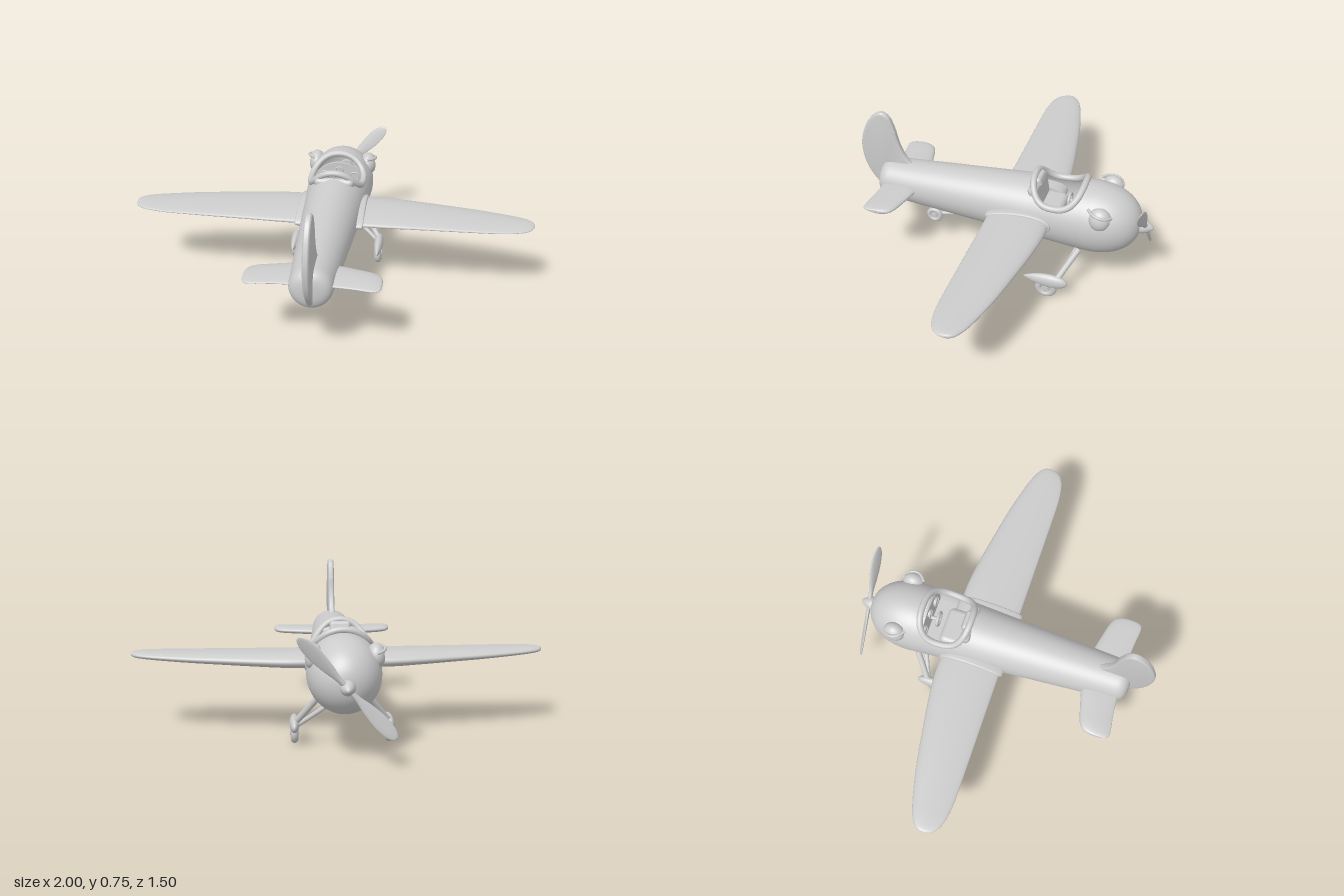
import * as THREE from 'three';
import { mergeVertices, toCreasedNormals } from 'three/addons/utils/BufferGeometryUtils.js';
import { RoundedBoxGeometry } from 'three/addons/geometries/RoundedBoxGeometry.js';

const V = (x, y, z) => new THREE.Vector3(x, y, z);
const grey = new THREE.MeshStandardMaterial({ color: 0xcccccc });
const greyOpen = new THREE.MeshStandardMaterial({ color: 0xcccccc, side: THREE.DoubleSide });

function part(parent, name, geometry, pos = [0, 0, 0], rot = [0, 0, 0], material = grey) {
  const mesh = new THREE.Mesh(geometry, material);
  mesh.name = name;
  mesh.position.set(...pos);
  mesh.rotation.set(...rot);
  parent.add(mesh);
  return mesh;
}

// Skin over a row of cross-sections with equal point counts
function loft(sections) {
  const n = sections[0].length, pos = [], idx = [];
  sections.forEach(s => s.forEach(p => pos.push(p.x, p.y, p.z)));
  for (let i = 0; i < sections.length - 1; i++)
    for (let j = 0; j < n - 1; j++) {
      const a = i * n + j, b = a + 1, d = a + n, c = d + 1;
      idx.push(a, d, b, b, d, c);
    }
  let g = new THREE.BufferGeometry();
  g.setAttribute('position', new THREE.Float32BufferAttribute(pos, 3));
  g.setIndex(idx);
  g = mergeVertices(g, 1e-5);
  g.computeVertexNormals();
  return g;
}

// Aerofoil surface running along x; stations are [x, leading z, trailing z, mid y, half thickness]
function foil(stations, steps = 50, m = 32) {
  const A = new THREE.CatmullRomCurve3(stations.map(s => V(s[0], s[1], s[2])), false, 'catmullrom', 0.5);
  const B = new THREE.CatmullRomCurve3(stations.map(s => V(s[3], s[4], 0)), false, 'catmullrom', 0.5);
  const sections = [];
  for (let i = 0; i <= steps; i++) {
    const a = A.getPoint(i / steps), b = B.getPoint(i / steps), row = [];
    for (let j = 0; j <= m; j++) {
      const t = (j % m) / m * Math.PI * 2, c = Math.cos(t);
      row.push(V(a.x, b.x + b.y * Math.sin(t) * (1 - 0.3 * c), (a.y + a.z) / 2 + (a.z - a.y) / 2 * c));
    }
    sections.push(row);
  }
  return loft(sections);
}

function rod(parent, name, a, b, r) {
  return part(parent, name, new THREE.TubeGeometry(new THREE.LineCurve3(V(...a), V(...b)), 1, r, 14));
}

function wheel(parent, name, x, y, z, r, tube) {
  const g = new THREE.Group();
  g.name = name;
  g.position.set(x, y, z);
  g.rotation.y = Math.PI / 2;
  part(g, 'tyre', new THREE.TorusGeometry(r - tube, tube, 14, 32));
  part(g, 'rim', new THREE.CylinderGeometry(r - tube, r - tube, tube * 1.2, 28), [0, 0, 0], [Math.PI / 2, 0, 0]);
  part(g, 'hub', new THREE.CylinderGeometry(r * 0.3, r * 0.3, tube * 2.2, 20), [0, 0, 0], [Math.PI / 2, 0, 0]);
  parent.add(g);
}

// Point on the fuselage skin at station z, angle a measured from the top
function skin(z, a, out = 0) {
  const k = Math.max(0, (z + 0.45) / 1.1);
  const top = 0.555 - 0.09 * k, bottom = 0.2 + 0.07 * k;
  let s = 1;
  if (z < -0.45) s = Math.max(0, 1 - ((-0.45 - z) / 0.24) ** 2.2) ** (1 / 2.2);
  if (z > 0.58) s = Math.max(0, 1 - ((z - 0.58) / 0.07) ** 3) ** (1 / 3);
  return V(((0.17 - 0.072 * k) * s + out) * Math.sin(a),
    (top + bottom) / 2 + ((top - bottom) / 2 * s + out) * Math.cos(a), z);
}

// Half-angle of the cockpit opening, t runs from -1 (front) to 1 (back)
const COCKPIT = { mid: -0.285, half: 0.123, angle: 0.98 };
const opening = t => COCKPIT.angle * Math.max(0, 1 - Math.abs(t) ** 2.5) ** (1 / 2.5);

function fuselage() {
  const zs = [], { mid, half } = COCKPIT, H = Math.PI / 2;
  for (let i = 0; i <= 24; i++) zs.push(-0.45 - 0.24 * Math.cos(i / 24 * H));
  for (let i = 0; i <= 48; i++) zs.push(mid - half * Math.cos(i / 48 * Math.PI));
  for (let i = 1; i <= 12; i++) zs.push(mid + half + (0.58 - mid - half) * i / 12);
  for (let i = 1; i <= 14; i++) zs.push(0.58 + 0.07 * Math.sin(i / 14 * H));
  return loft(zs.map(z => {
    const a0 = opening((z - mid) / half), row = [];
    for (let j = 0; j <= 72; j++) row.push(skin(z, a0 + (2 * Math.PI - 2 * a0) * j / 72));
    return row;
  }));
}

function cockpit(root) {
  const g = new THREE.Group();
  g.name = 'cockpit';
  root.add(g);
  // padded rim, raised a little behind the pilot
  const path = [];
  for (let i = 0; i < 48; i++) {
    const f = i / 48 * Math.PI * 2, c = Math.cos(f), s = Math.sin(f);
    const t = Math.sign(c) * Math.abs(c) ** 0.8;
    const p = skin(COCKPIT.mid + COCKPIT.half * t, Math.sign(s) * COCKPIT.angle * Math.abs(s) ** 0.8, 0.002);
    p.y += t > 0 ? 0.03 * t ** 4 : 0.01 * t ** 4;
    path.push(p);
  }
  part(g, 'cockpitRim', new THREE.TubeGeometry(new THREE.CatmullRomCurve3(path, true), 120, 0.016, 12, true));
  part(g, 'floor', new THREE.BoxGeometry(0.27, 0.01, 0.27), [0, 0.34, -0.28]);
  part(g, 'seatCushion', new RoundedBoxGeometry(0.19, 0.06, 0.12, 4, 0.028), [0, 0.385, -0.25]);
  part(g, 'seatBack', new RoundedBoxGeometry(0.2, 0.18, 0.05, 4, 0.024), [0, 0.445, -0.18], [0.15, 0, 0]);
  part(g, 'headrest', new RoundedBoxGeometry(0.1, 0.05, 0.035, 4, 0.016), [0, 0.535, -0.185], [0.3, 0, 0]);
  part(g, 'dashboard', new THREE.CylinderGeometry(0.145, 0.145, 0.012, 40), [0, 0.377, -0.39], [Math.PI / 2, 0, 0]);
  for (const [x, y, r] of [[-0.08, 0.45, 0.024], [0, 0.48, 0.02], [0.08, 0.45, 0.024]]) {
    part(g, 'dial', new THREE.CylinderGeometry(r, r, 0.012, 20), [x, y, -0.38], [Math.PI / 2, 0, 0]);
    part(g, 'dialRing', new THREE.TorusGeometry(r, 0.004, 8, 24), [x, y, -0.374]);
  }
  rod(g, 'controlColumn', [0, 0.43, -0.385], [0, 0.44, -0.335], 0.009);
  part(g, 'controlWheel', new THREE.TorusGeometry(0.034, 0.007, 10, 28), [0, 0.44, -0.335]);
  rod(g, 'controlWheelBar', [-0.034, 0.44, -0.335], [0.034, 0.44, -0.335], 0.006);
}

// Everything on the +x side, mirrored for the other
function side() {
  const g = new THREE.Group();
  part(g, 'wing', foil([
    [0.1, -0.272, 0.03, 0.378, 0.037], [0.25, -0.272, 0.03, 0.378, 0.036], [0.4, -0.255, 0.03, 0.38, 0.032],
    [0.55, -0.23, 0.03, 0.382, 0.028], [0.7, -0.203, 0.03, 0.384, 0.024], [0.83, -0.172, 0.028, 0.386, 0.02],
    [0.92, -0.145, 0.016, 0.388, 0.017], [0.97, -0.12, -0.006, 0.389, 0.014],
    [0.993, -0.095, -0.035, 0.39, 0.009], [1, -0.066, -0.064, 0.39, 0]], 72));
  part(g, 'wingFairing', foil([
    [0.09, -0.285, 0.045, 0.375, 0.05], [0.155, -0.285, 0.045, 0.375, 0.05],
    [0.168, -0.28, 0.038, 0.376, 0.044], [0.17, -0.26, 0.02, 0.377, 0.03]], 16));
  part(g, 'tailplane', foil([
    [0.05, 0.42, 0.607, 0.38, 0.019], [0.13, 0.435, 0.61, 0.38, 0.019], [0.2, 0.452, 0.616, 0.38, 0.018],
    [0.26, 0.468, 0.624, 0.38, 0.017], [0.295, 0.488, 0.622, 0.38, 0.014],
    [0.31, 0.52, 0.6, 0.38, 0.009], [0.313, 0.559, 0.561, 0.38, 0]], 40));
  // bulging side lamp with hooded lid
  const ball = part(g, 'lamp', new THREE.SphereGeometry(1, 32, 20), [0.14, 0.465, -0.512], [0, 0, 0.25]);
  ball.scale.set(0.036, 0.052, 0.05);
  const lid = part(g, 'lampLid', new THREE.SphereGeometry(1, 32, 12, 0, Math.PI * 2, 0, 1.15),
    [0.14, 0.466, -0.512], [-0.25, 0, 0.1], greyOpen);
  lid.scale.set(0.044, 0.06, 0.057);
  part(g, 'lampBrow', new THREE.TubeGeometry(new THREE.CatmullRomCurve3([
    V(0.135, 0.51, -0.455), V(0.168, 0.508, -0.485), V(0.178, 0.504, -0.515),
    V(0.168, 0.496, -0.545), V(0.135, 0.487, -0.567)]), 24, 0.007, 10));
  // main wheel with teardrop cover
  const cover = [];
  for (let i = 0; i <= 28; i++) {
    const u = (1 - Math.cos(i / 28 * Math.PI)) / 2, r = 1.72 * Math.sqrt(u) * (1 - u) ** 0.8, row = [];
    for (let j = 0; j <= 28; j++) {
      const a = (j % 28) / 28 * Math.PI * 2;
      row.push(V(0.222 + 0.033 * r * Math.sin(a), 0.099 + 0.052 * r * Math.cos(a), -0.395 + 0.222 * u));
    }
    cover.push(row);
  }
  part(g, 'wheelCover', loft(cover));
  wheel(g, 'mainWheel', 0.222, 0.055, -0.29, 0.055, 0.018);
  rod(g, 'mainStrut', [0.12, 0.25, -0.42], [0.215, 0.12, -0.345], 0.015);
  rod(g, 'braceStrut', [0.04, 0.235, -0.41], [0.21, 0.1, -0.34], 0.011);
  // tail wheel and its arm
  wheel(g, 'tailWheel', 0.024, 0.197, 0.365, 0.042, 0.013);
  rod(g, 'tailWheelArm', [0.012, 0.245, 0.16], [0.012, 0.197, 0.365], 0.009);
  return g;
}

export function createModel() {
  const root = new THREE.Group();
  root.name = 'aeroplane';
  part(root, 'fuselage', fuselage(), [0, 0, 0], [0, 0, 0], greyOpen);
  cockpit(root);

  const left = side();
  left.name = 'leftSide';
  const right = left.clone();
  right.name = 'rightSide';
  right.scale.x = -1;
  root.add(left, right);
  rod(root, 'tailAxle', [-0.035, 0.197, 0.365], [0.035, 0.197, 0.365], 0.008);

  // tail fin, outlined in z and y
  const outline = [[0.56, 0.65], [0.588, 0.722], [0.63, 0.747], [0.68, 0.718], [0.722, 0.65], [0.748, 0.55],
    [0.738, 0.45], [0.705, 0.375], [0.645, 0.3]].map(p => new THREE.Vector2(...p));
  const shape = new THREE.Shape();
  shape.moveTo(0.58, 0.32);
  shape.lineTo(0.46, 0.46);
  shape.lineTo(0.49, 0.482);
  shape.quadraticCurveTo(0.54, 0.53, 0.56, 0.65);
  shape.splineThru(outline.slice(1));
  const fin = new THREE.ExtrudeGeometry(shape, { depth: 0.008, bevelThickness: 0.012, bevelSize: 0.014,
    bevelOffset: -0.014, bevelSegments: 5, curveSegments: 20 });
  fin.translate(0, 0, -0.004).rotateY(-Math.PI / 2);
  part(root, 'tailFin', toCreasedNormals(fin, 0.7));

  // two-bladed propeller with pointed spinner
  const propeller = new THREE.Group();
  propeller.name = 'propeller';
  propeller.position.set(0, 0.37, -0.71);
  root.add(propeller);
  const spinner = [[0.034, -0.04], [0.034, -0.012], [0.028, 0.008], [0.017, 0.026], [0.008, 0.037], [0, 0.04]];
  part(propeller, 'spinner', new THREE.LatheGeometry(
    new THREE.SplineCurve(spinner.map(p => new THREE.Vector2(...p))).getPoints(20), 28), [0, 0, 0], [-Math.PI / 2, 0, 0]);
  const blade = foil([[0, -0.012, 0.012, 0, 0.01], [0.06, -0.014, 0.014, 0, 0.009], [0.13, -0.028, 0.028, 0, 0.008],
    [0.21, -0.036, 0.036, 0, 0.007], [0.27, -0.03, 0.03, 0, 0.006], [0.3, -0.016, 0.016, 0, 0.004],
    [0.309, -0.001, 0.001, 0, 0]], 36, 24);
  blade.rotateX(Math.PI / 2 - 0.4);
  for (const turn of [0, Math.PI]) part(propeller, 'blade', blade, [0, 0, 0], [0, 0, 0.82 + turn]);
  return root;
}
